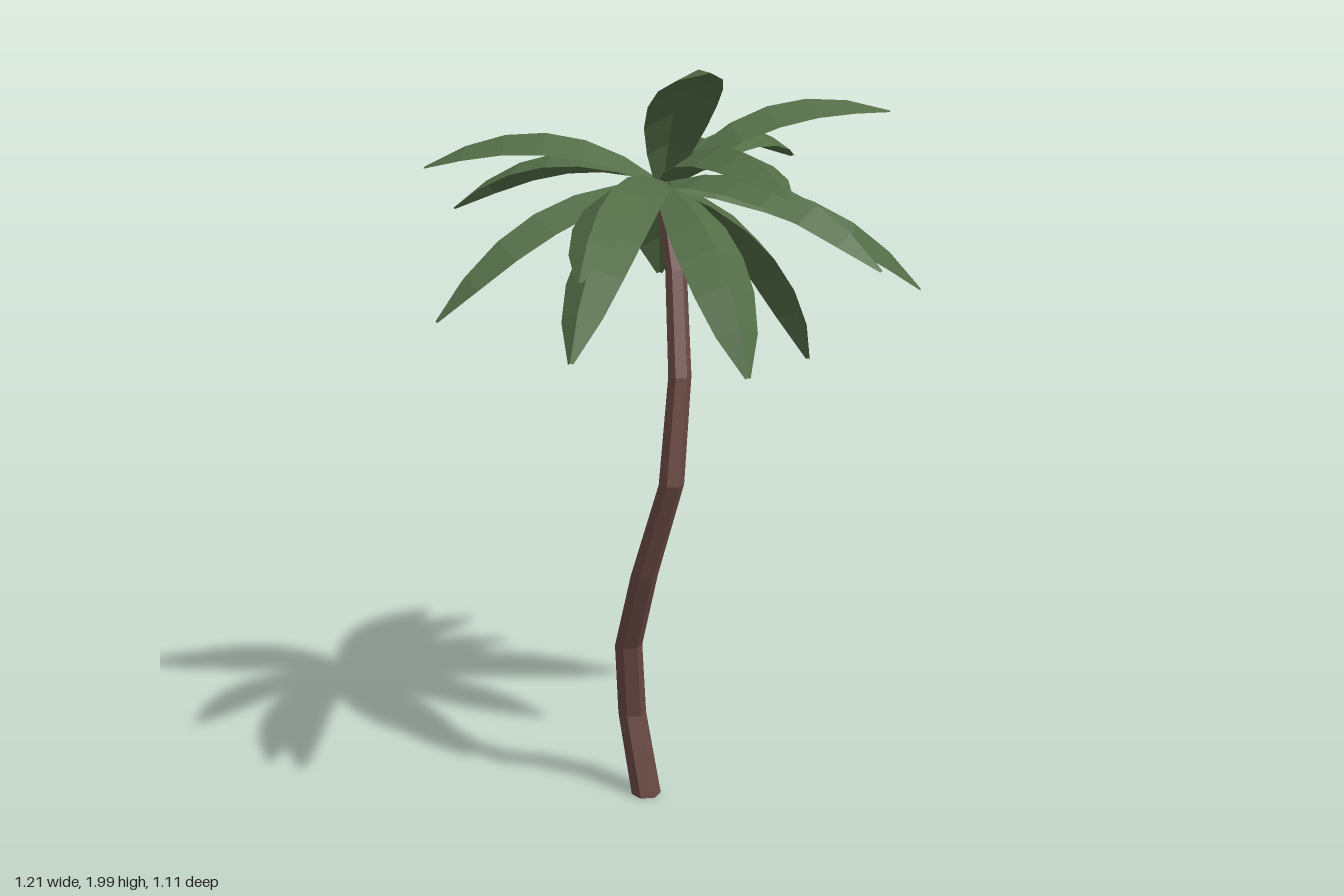
import * as THREE from 'three';

const CROWN = new THREE.Vector3(0, 1.65, -0.08);

// Trunk centre line: x, y, z, radius
const TRUNK = [
  [-0.024, 0, -0.13, 0.039], [-0.035, 0.22, -0.175, 0.037], [-0.075, 0.43, -0.137, 0.036],
  [-0.113, 0.66, -0.02, 0.035], [-0.12, 0.93, 0.1, 0.032], [-0.085, 1.2, 0.09, 0.029],
  [-0.033, 1.45, 0.01, 0.027], [0, 1.65, -0.08, 0.024],
];

// Frond tips: x, y, z, roll about the frond's own axis
const FRONDS = [
  [-0.31, 1.555, -0.555, 0.25], [-0.45, 1.685, -0.475, 0], [-0.605, 1.36, -0.205, 0],
  [-0.57, 1.54, 0.33, 0.2], [-0.545, 1.335, 0.26, 0.2], [-0.235, 1.99, 0.385, 0],
  [-0.135, 1.715, 0.555, 0], [-0.135, 1.265, 0.41, 0], [0.215, 1.49, 0.49, 0],
  [0.605, 1.35, 0.22, 0.25], [0.53, 1.81, 0.17, 0], [0.53, 1.11, -0.125, 0],
  [0.55, 1.645, -0.22, 0], [0.475, 1.585, -0.425, 0], [0.325, 1.31, -0.51, 0],
];

// Half width of a frond from root to tip
const WIDTHS = [0.022, 0.056, 0.078, 0.085, 0.078, 0.055, 0.007];

// Unit cylinder whose rings are moved onto the bent centre line
function trunkGeometry() {
  const steps = TRUNK.length - 1;
  const geo = new THREE.CylinderGeometry(1, 1, steps, 6, steps);
  const pos = geo.attributes.position;
  for (let i = 0; i < pos.count; i++) {
    const [x, y, z, r] = TRUNK[Math.round(pos.getY(i) + steps / 2)];
    pos.setXYZ(i, x + pos.getX(i) * r, y, z + pos.getZ(i) * r);
  }
  geo.computeVertexNormals();
  return geo;
}

// Arched blade with a roof-shaped section: edge, midrib, edge
function frondGeometry([x, y, z, roll]) {
  const chord = new THREE.Vector3(x, y, z).sub(CROWN);
  const dir = chord.clone().normalize();
  const side = new THREE.Vector3().crossVectors(dir, new THREE.Vector3(0, 1, 0)).normalize();
  const up = new THREE.Vector3().crossVectors(side, dir);
  side.applyAxisAngle(dir, roll);
  up.applyAxisAngle(dir, roll);

  const points = [], index = [];
  const last = WIDTHS.length - 1;
  WIDTHS.forEach((w, i) => {
    const t = i / last;
    for (const s of [-1, 0, 1]) {
      const lift = 0.42 * t * (1 - t) - Math.abs(s) * w * 0.5;
      const p = CROWN.clone().addScaledVector(chord, t).addScaledVector(up, lift).addScaledVector(side, s * w);
      points.push(p.x, p.y, p.z);
    }
    if (i === last) return;
    for (const k of [0, 1]) {
      const a = i * 3 + k, b = a + 3;
      index.push(a, a + 1, b, a + 1, b + 1, b);
    }
  });
  const geo = new THREE.BufferGeometry();
  geo.setAttribute('position', new THREE.Float32BufferAttribute(points, 3));
  // Reverse the corners so the upper side is the front
  geo.setIndex(index.reverse());
  geo.computeVertexNormals();
  return geo;
}

export function createModel() {
  const group = new THREE.Group();
  group.name = 'palmTree';
  const bark = new THREE.MeshStandardMaterial({ color: 0x6b4a44, flatShading: true });
  const leaf = new THREE.MeshStandardMaterial({ color: 0x536d47, flatShading: true, side: THREE.DoubleSide });

  const trunk = new THREE.Mesh(trunkGeometry(), bark);
  trunk.name = 'trunk';
  group.add(trunk);

  const crown = new THREE.Group();
  crown.name = 'crown';
  FRONDS.forEach((tip, i) => {
    const frond = new THREE.Mesh(frondGeometry(tip), leaf);
    frond.name = `frond${i + 1}`;
    crown.add(frond);
  });
  group.add(crown);
  return group;
}
